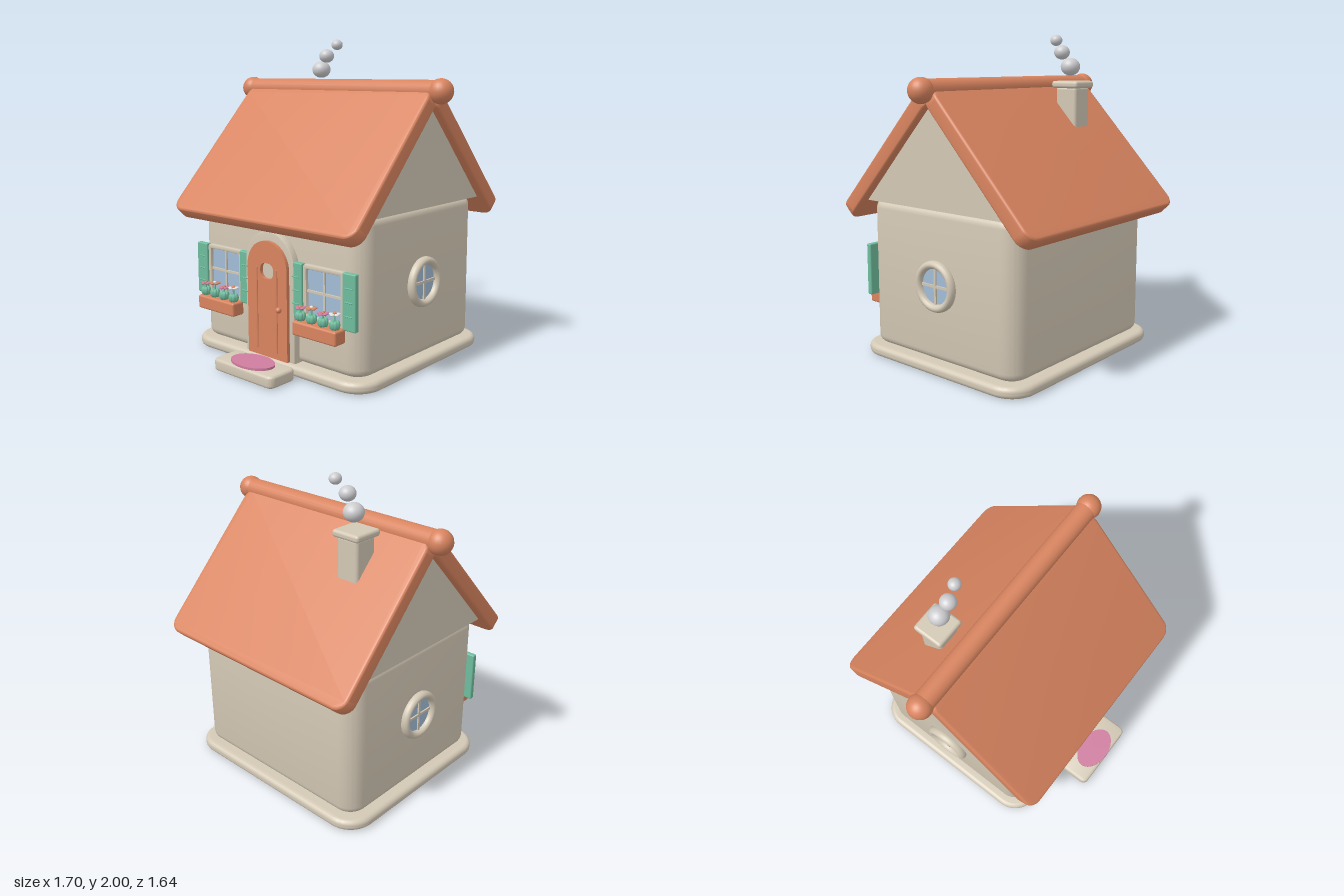
import * as THREE from 'three';
import { toCreasedNormals } from 'three/addons/utils/BufferGeometryUtils.js';
import { RoundedBoxGeometry } from 'three/addons/geometries/RoundedBoxGeometry.js';

const mat = (name, color) => new THREE.MeshStandardMaterial({ name, color });
const M = {
  plaster: mat('plaster', 0xd3c8b5),
  clay: mat('clay', 0xd8845f),
  green: mat('green', 0x6fbc9d),
  glass: mat('glass', 0xa2bcd6),
  pink: mat('pink', 0xcf7da0),
  smoke: mat('smoke', 0xcdcdd0),
  white: mat('white', 0xe6e2de),
};

const MID = -0.06; // z of the ridge and the house centre
const PITCH = 0.815;

function add(parent, name, geo, material, x = 0, y = 0, z = 0) {
  const m = new THREE.Mesh(geo, material);
  m.name = name;
  m.position.set(x, y, z);
  parent.add(m);
  return m;
}

function group(parent, name, x = 0, y = 0, z = 0) {
  const g = new THREE.Group();
  g.name = name;
  g.position.set(x, y, z);
  parent.add(g);
  return g;
}

const rbox = (w, h, d, r) => new RoundedBoxGeometry(w, h, d, 3, r);

function roundRect(w, h, r, S = THREE.Shape) {
  const s = new S(), x = w / 2 - r, y = h / 2 - r;
  s.absarc(x, y, r, 0, Math.PI / 2, false);
  s.absarc(-x, y, r, Math.PI / 2, Math.PI, false);
  s.absarc(-x, -y, r, Math.PI, Math.PI * 1.5, false);
  s.absarc(x, -y, r, Math.PI * 1.5, Math.PI * 2, false);
  s.closePath();
  return s;
}

// Block with corners of radius r in plan and softened top and bottom edges
function slab(w, h, d, r, b) {
  const g = new THREE.ExtrudeGeometry(roundRect(w - 2 * b, d - 2 * b, r - b), {
    depth: h - 2 * b, bevelSize: b, bevelThickness: b, bevelSegments: 5, curveSegments: 10,
  });
  g.center().rotateX(-Math.PI / 2);
  return toCreasedNormals(g, 0.6);
}

function arch(r, bottom, spring) {
  const s = new THREE.Shape();
  s.moveTo(-r, bottom);
  s.lineTo(r, bottom);
  s.lineTo(r, spring);
  s.absarc(0, spring, r, 0, Math.PI, false);
  s.closePath();
  return s;
}

function extrude(shape, depth, bevel = 0) {
  return toCreasedNormals(new THREE.ExtrudeGeometry(shape, {
    depth: depth - 2 * bevel, bevelEnabled: bevel > 0, bevelSize: bevel, bevelOffset: -bevel,
    bevelThickness: bevel, bevelSegments: 2, curveSegments: 24,
  }).translate(0, 0, bevel), 0.6);
}

function buildRoof(root) {
  const roof = group(root, 'roof');
  for (const s of [1, -1]) {
    const panel = add(roof, s > 0 ? 'frontRoofPanel' : 'backRoofPanel',
      slab(1.5, 0.1, 1.06, 0.08, 0.018), M.clay, 0, 1.281, MID + s * 0.366);
    panel.rotation.x = s * PITCH;
    add(roof, 'ridgeBall', new THREE.SphereGeometry(0.075, 24, 16), M.clay, s * 0.775, 1.68, MID);
  }
  const ridge = add(roof, 'ridgeRoll', new THREE.CylinderGeometry(0.065, 0.065, 1.56, 24), M.clay, 0, 1.68, MID);
  ridge.rotation.z = Math.PI / 2;

  // Gable prism filling the space under the panels
  const tri = new THREE.Shape([[-0.56, 0.995], [0.56, 0.995], [0, 1.6]].map(p => new THREE.Vector2(...p)));
  const gable = extrude(tri, 1.4).translate(0, 0, -0.7).rotateY(Math.PI / 2);
  add(roof, 'gable', gable, M.plaster, 0, 0, MID);
}

function buildChimney(root) {
  const c = group(root, 'chimney', -0.357, 0, -0.28);
  add(c, 'chimneyShaft', rbox(0.155, 0.42, 0.155, 0.02), M.plaster, 0, 1.47, 0);
  add(c, 'chimneyCap', rbox(0.197, 0.045, 0.197, 0.018), M.plaster, 0, 1.693, 0);
  for (const [x, y, z, r] of [[-0.335, 1.805, -0.276, 0.062], [-0.27, 1.895, -0.256, 0.05], [-0.19, 1.967, -0.27, 0.038]])
    add(root, 'smokePuff', new THREE.SphereGeometry(r, 24, 16), M.smoke, x, y, z).scale.y = 0.9;
}

function buildDoor(root) {
  const d = group(root, 'door');
  add(d, 'doorSurround', extrude(arch(0.203, 0.08, 0.65), 0.07, 0.005), M.plaster, 0, 0, 0.503);
  const leaf = arch(0.165, 0.085, 0.635);
  const hole = roundRect(0.11, 0.096, 0.042, THREE.Path);
  leaf.holes.push(new THREE.Path(hole.getPoints(6).map(p => p.add(new THREE.Vector2(0, 0.617))).reverse()));
  add(d, 'doorLeaf', extrude(leaf, 0.027), M.clay, 0, 0, 0.568);
  for (const x of [-0.083, 0.083])
    add(d, 'doorBatten', new THREE.CapsuleGeometry(0.006, 0.5, 4, 8), M.clay, x, 0.382, 0.596);
  add(d, 'doorKnob', new THREE.SphereGeometry(0.018, 16, 12), M.clay, 0.108, 0.4, 0.607);
}

function buildFlower(parent, x, tall, petalMat) {
  const f = group(parent, 'flower', x, 0, 0.605);
  const top = tall ? 0.465 : 0.452;
  // Leafy tuft made of upright lobes
  for (let i = 0; i < 7; i++) {
    const a = i / 7 * Math.PI * 2;
    add(f, 'leaf', new THREE.SphereGeometry(0.02, 8, 8), M.green, Math.sin(a) * 0.017, 0.402, Math.cos(a) * 0.017)
      .scale.set(0.8, 1.35, 0.8);
  }
  add(f, 'stem', new THREE.CylinderGeometry(0.005, 0.005, 0.06, 6), M.green, 0, top - 0.03, 0);
  for (let i = 0; i < 5; i++) {
    const a = i / 5 * Math.PI * 2;
    add(f, 'petal', new THREE.SphereGeometry(0.015, 8, 6), petalMat, Math.sin(a) * 0.021, top, Math.cos(a) * 0.021)
      .scale.y = 0.45;
  }
  add(f, 'flowerCentre', new THREE.SphereGeometry(0.012, 8, 6), petalMat === M.clay ? M.white : M.clay, 0, top + 0.006, 0)
    .scale.y = 0.7;
}

function buildWindow(root, cx) {
  const w = group(root, 'frontWindow', cx);
  const y = 0.533;
  add(w, 'windowGlass', new THREE.BoxGeometry(0.27, 0.29, 0.02), M.glass, 0, y, 0.529);
  const frame = roundRect(0.31, 0.33, 0.02);
  frame.holes.push(roundRect(0.26, 0.275, 0.012, THREE.Path));
  add(w, 'windowFrame', extrude(frame, 0.035, 0.006), M.plaster, 0, y, 0.525);
  add(w, 'verticalMuntin', new THREE.BoxGeometry(0.014, 0.28, 0.012), M.plaster, 0, y, 0.544);
  add(w, 'horizontalMuntin', new THREE.BoxGeometry(0.265, 0.014, 0.012), M.plaster, 0, 0.54, 0.544);
  for (const s of [-1, 1]) {
    const sh = group(w, 'shutter', s * 0.2, 0.535, 0.555);
    add(sh, 'shutterPanel', rbox(0.096, 0.33, 0.035, 0.008), M.green);
    for (const dy of [-0.08, 0, 0.08])
      add(sh, 'shutterSlat', rbox(0.055, 0.008, 0.008, 0.003), M.green, 0, dy, 0.018);
  }
  add(w, 'flowerBox', rbox(0.33, 0.085, 0.092, 0.012), M.clay, 0, 0.333, 0.598);
  [M.pink, M.clay, M.pink, M.white].forEach((m, i) => buildFlower(w, -0.131 + i * 0.0867, i % 2 === 1, m));
}

function buildRoundWindow(root, s) {
  const w = group(root, 'roundWindow', s * 0.67, 0.54, MID);
  w.rotation.y = s * Math.PI / 2;
  add(w, 'roundFrame', new THREE.TorusGeometry(0.131, 0.024, 16, 40), M.plaster, 0, 0, 0.012).scale.z = 1.3;
  add(w, 'roundGlass', new THREE.CylinderGeometry(0.125, 0.125, 0.02, 32).rotateX(Math.PI / 2), M.glass);
  add(w, 'verticalMuntin', new THREE.BoxGeometry(0.016, 0.23, 0.014), M.plaster, 0, 0, 0.012);
  add(w, 'horizontalMuntin', new THREE.BoxGeometry(0.23, 0.016, 0.014), M.plaster, 0, 0, 0.012);
}

export function createModel() {
  const root = new THREE.Group();
  root.name = 'cottage';

  // Base, walls and doorstep
  add(root, 'plinth', slab(1.46, 0.07, 1.3, 0.17, 0.03), M.plaster, 0, 0.04, MID);
  add(root, 'walls', slab(1.34, 0.92, 1.18, 0.12, 0.05), M.plaster, 0, 0.535, MID);
  add(root, 'doorstep', slab(0.5, 0.075, 0.21, 0.04, 0.018), M.plaster, 0, 0.0425, 0.713);
  add(root, 'doormat', new THREE.CylinderGeometry(0.157, 0.157, 0.014, 40), M.pink, 0, 0.087, 0.718).scale.z = 0.64;

  buildRoof(root);
  buildChimney(root);
  buildDoor(root);
  for (const s of [-1, 1]) {
    buildWindow(root, s * 0.415);
    buildRoundWindow(root, s);
  }
  return root;
}
